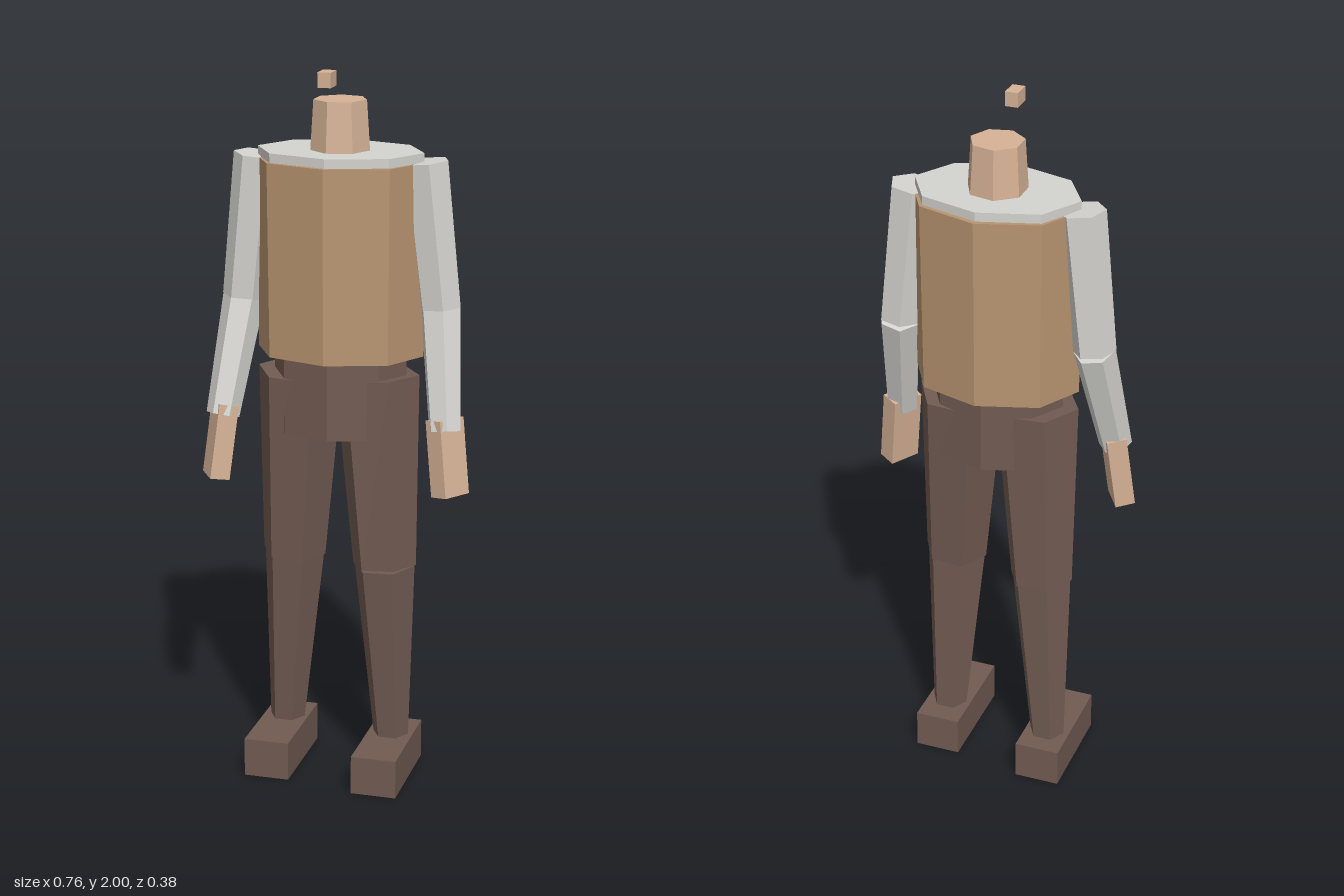
import * as THREE from 'three';

const material = (name, color) => {
  const m = new THREE.MeshStandardMaterial({ color });
  m.name = name;
  return m;
};

export function createModel() {
  const skin = material('skin', 0xd6b296);
  const shirt = material('shirt grey', 0xd4d3cf);
  const vest = material('vest tan', 0xb89470);
  const trousers = material('trouser brown', 0x715b52);

  const model = new THREE.Group();
  model.name = 'figure';

  // Adds a faceted mesh with one normal per face
  function add(name, geometry, mat) {
    const flat = geometry.toNonIndexed();
    flat.computeVertexNormals();
    const mesh = new THREE.Mesh(flat, mat);
    mesh.name = name;
    model.add(mesh);
    return mesh;
  }

  // Upright prism with an elliptical outline, from y0 to y1
  function trunk(name, mat, sides, rx, rz, y0, y1, z, taper = 1, turn = 0) {
    const g = new THREE.CylinderGeometry(1, taper, y1 - y0, sides);
    g.rotateY(turn).scale(rx, 1, rz).translate(0, (y0 + y1) / 2, z);
    return add(name, g, mat);
  }

  // Places a y-aligned geometry so that it runs between two points
  function span(mesh, top, bottom) {
    const a = new THREE.Vector3(...top), b = new THREE.Vector3(...bottom);
    mesh.position.copy(a).add(b).multiplyScalar(0.5);
    mesh.quaternion.setFromUnitVectors(new THREE.Vector3(0, 1, 0), a.sub(b).normalize());
  }

  const distance = (a, b) => Math.hypot(a[0] - b[0], a[1] - b[1], a[2] - b[2]);

  // Tapered six-sided limb segment
  function limb(name, mat, top, bottom, rTop, rBottom, turn) {
    const g = new THREE.CylinderGeometry(rTop, rBottom, distance(top, bottom), 6).rotateY(turn);
    span(add(name, g, mat), top, bottom);
  }

  // Body
  trunk('vest', vest, 8, 0.238, 0.176, 1.22, 1.75, -0.013, 0.98);
  trunk('shirt', shirt, 8, 0.231, 0.162, 1.24, 1.775, -0.013, 0.98);
  trunk('pelvis', trousers, 8, 0.187, 0.131, 1.0, 1.23, -0.01);
  trunk('neck', skin, 7, 0.073, 0.073, 1.74, 1.91, -0.013, 1.15, Math.PI / 2);

  // Floating nose
  const nose = add('nose', new THREE.BoxGeometry(0.036, 0.04, 0.055), skin);
  nose.position.set(0, 1.98, 0.118);

  for (const s of [-1, 1]) {
    const side = s > 0 ? 'left' : 'right';

    // Arm, bent slightly forward at the elbow
    const shoulder = [s * 0.234, 1.753, -0.017];
    const elbow = [s * 0.277, 1.357, -0.022];
    const wrist = [s * 0.314, 1.037, 0.067];
    limb(side + 'UpperArm', shirt, shoulder, elbow, 0.064, 0.059, s * 0.35);
    limb(side + 'Forearm', shirt, elbow, wrist, 0.058, 0.046, s * 0.35);

    // Hand, turned to face inward
    const handTop = [s * 0.31, 1.07, 0.056], handEnd = [s * 0.333, 0.862, 0.077];
    const hand = new THREE.BoxGeometry(0.055, distance(handTop, handEnd), 0.09);
    hand.rotateY(-s * 0.55);
    span(add(side + 'Hand', hand, skin), handTop, handEnd);

    // Leg, with the left one a little ahead of the right
    const hip = [s > 0 ? 0.103 : -0.113, 1.16, -0.013];
    const knee = s > 0 ? [0.135, 0.625, 0.015] : [-0.14, 0.625, -0.035];
    const ankle = s > 0 ? [0.15, 0.1, -0.011] : [-0.17, 0.1, -0.055];
    limb(side + 'Thigh', trousers, hip, knee, 0.12, 0.09, Math.PI / 6);
    limb(side + 'Shin', trousers, knee, ankle, 0.086, 0.05, Math.PI / 6);

    // Foot
    const foot = add(side + 'Foot', new THREE.BoxGeometry(0.128, 0.11, 0.302), trousers);
    foot.position.set(s > 0 ? 0.15 : -0.172, 0.055, s > 0 ? 0.037 : 0);
  }

  return model;
}
